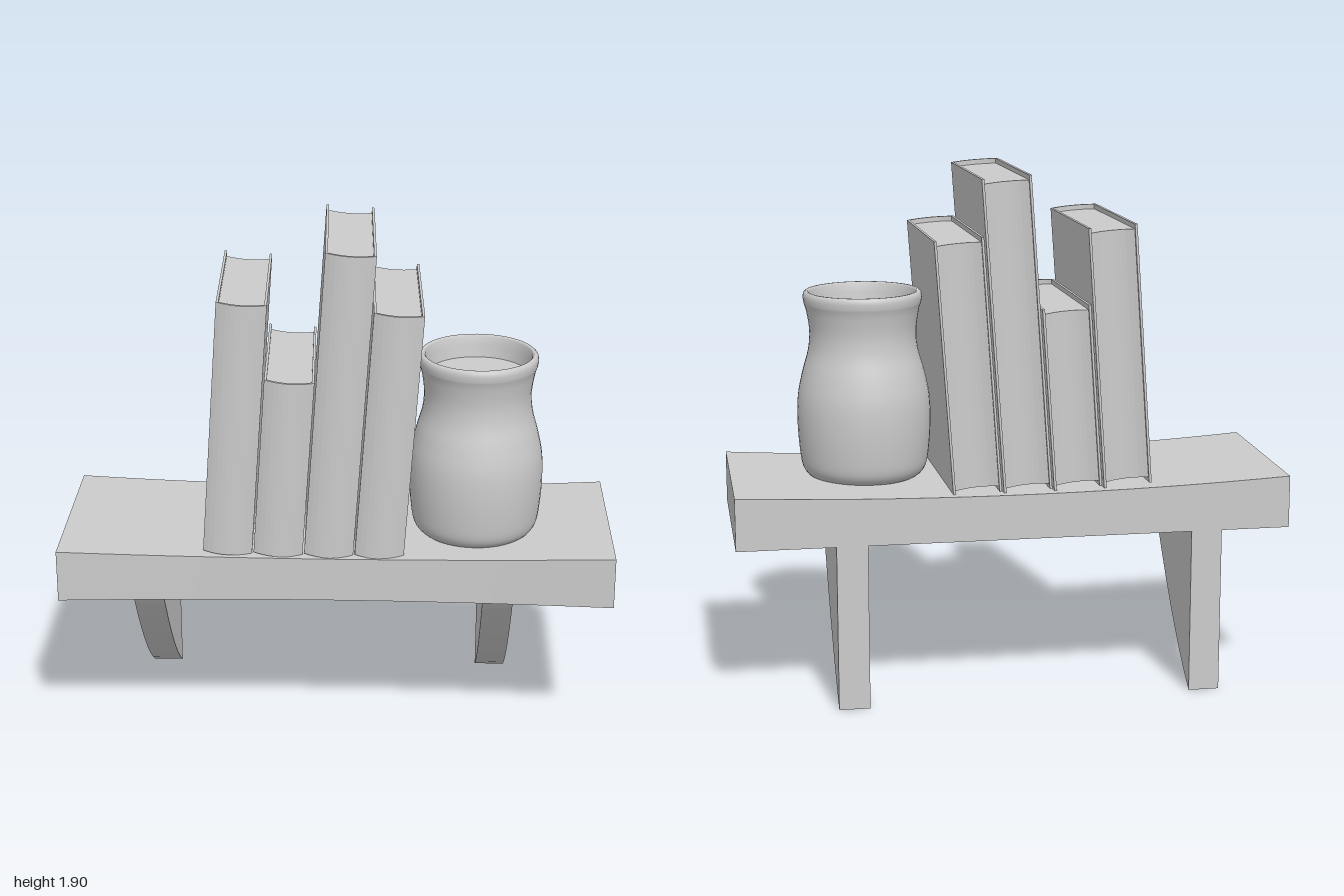
import * as THREE from 'three';

const material = new THREE.MeshStandardMaterial({ color: 0xcccccc });
const SHELF_BOTTOM = 0.604;

function addMesh(parent, name, geometry, mat = material) {
  const mesh = new THREE.Mesh(geometry, mat);
  mesh.name = name;
  parent.add(mesh);
  return mesh;
}

// Board whose top and front edge dip gently towards the middle
function shelfGeometry() {
  const geo = new THREE.BoxGeometry(2, 0.191, 0.72, 20, 1, 1);
  geo.translate(0, SHELF_BOTTOM + 0.0955, 0);
  const p = geo.attributes.position;
  for (let i = 0; i < p.count; i++) {
    const sag = 1 - p.getX(i) ** 2;
    if (p.getY(i) > 0.7) p.setY(i, p.getY(i) - 0.028 * sag);
    if (p.getZ(i) > 0) p.setZ(i, p.getZ(i) - 0.033 * sag);
  }
  geo.computeVertexNormals();
  return geo;
}

// Support with a concave curved front edge, extruded across x
function bracketGeometry(width) {
  const shape = new THREE.Shape();
  shape.moveTo(0.36, 0);
  shape.lineTo(0.36, SHELF_BOTTOM);
  shape.lineTo(-0.24, SHELF_BOTTOM);
  shape.quadraticCurveTo(0.083, 0.165, 0.36, 0);
  const geo = new THREE.ExtrudeGeometry(shape, { depth: width, bevelEnabled: false, curveSegments: 8 });
  return geo.translate(0, 0, -width / 2).rotateY(Math.PI / 2);
}

// Upright extrusion of a plan outline (shape y points to the back)
function upright(shape, height, base) {
  const geo = new THREE.ExtrudeGeometry(shape, { depth: height, bevelEnabled: false, curveSegments: 10 });
  return geo.rotateX(-Math.PI / 2).translate(0, base, 0);
}

// Hard cover with rounded spine, around a recessed block of pages
function makeBook(width, height) {
  const book = new THREE.Group();
  const o = width / 2, i = o - 0.009, back = 0.322, hinge = -0.292, recess = 0.018;

  const cover = new THREE.Shape();
  cover.moveTo(-o, back);
  cover.lineTo(-o, hinge);
  cover.quadraticCurveTo(0, -0.348, o, hinge);
  cover.lineTo(o, back);
  cover.lineTo(i, back);
  cover.lineTo(i, hinge + 0.006);
  cover.quadraticCurveTo(0, -0.332, -i, hinge + 0.006);
  cover.lineTo(-i, back);
  addMesh(book, 'cover', upright(cover, height, 0));

  const pages = new THREE.Shape();
  pages.moveTo(-i, back - 0.008);
  pages.lineTo(-i, hinge + 0.006);
  pages.quadraticCurveTo(0, -0.332, i, hinge + 0.006);
  pages.lineTo(i, back - 0.008);
  pages.quadraticCurveTo(0, 0.27, -i, back - 0.008);
  addMesh(book, 'pages', upright(pages, height - 2 * recess, recess));
  return book;
}

function makeJar() {
  const jar = new THREE.Group();
  const v = (r, y) => new THREE.Vector2(r, y);
  // Outer wall from the foot up to the lip
  const wall = new THREE.SplineCurve([
    v(0.17, 0), v(0.2, 0.008), v(0.225, 0.04), v(0.236, 0.1), v(0.243, 0.2), v(0.24, 0.3),
    v(0.222, 0.39), v(0.2, 0.47), v(0.194, 0.54), v(0.203, 0.61), v(0.213, 0.645),
  ]).getPoints(40);
  const lip = [v(0.216, 0.665), v(0.213, 0.68), v(0.206, 0.686), v(0.198, 0.686), v(0.192, 0.68)];
  const inside = [v(0.188, 0.65), v(0.181, 0.6)];
  const shell = new THREE.LatheGeometry([v(0, 0), ...wall, ...lip, ...inside], 48);
  const thin = material.clone();
  thin.side = THREE.DoubleSide;
  addMesh(jar, 'jarWall', shell, thin);

  const contents = new THREE.CircleGeometry(0.183, 48).rotateX(-Math.PI / 2);
  addMesh(jar, 'jarContents', contents).position.y = 0.605;
  return jar;
}

export function createModel() {
  const model = new THREE.Group();
  model.name = 'wallShelf';

  addMesh(model, 'shelfBoard', shelfGeometry());

  for (const [name, x] of [['rightBracket', -0.693], ['leftBracket', 0.592]]) {
    addMesh(model, name, bracketGeometry(0.112)).position.x = x;
  }

  // Row of books leaning towards the jar: [base x, base y, height]
  const books = [[-0.398, 0.776, 0.938], [-0.216, 0.771, 0.66], [-0.034, 0.768, 1.125], [0.148, 0.766, 0.914]];
  books.forEach(([x, y, height], n) => {
    const book = makeBook(0.176, height);
    book.name = `book${n + 1}`;
    book.position.set(x, y, 0);
    book.rotation.set(0, 0.03, -0.07, 'ZYX');
    model.add(book);
  });

  const jar = makeJar();
  jar.name = 'jar';
  jar.position.set(0.505, 0.768, 0.032);
  model.add(jar);

  return model;
}
